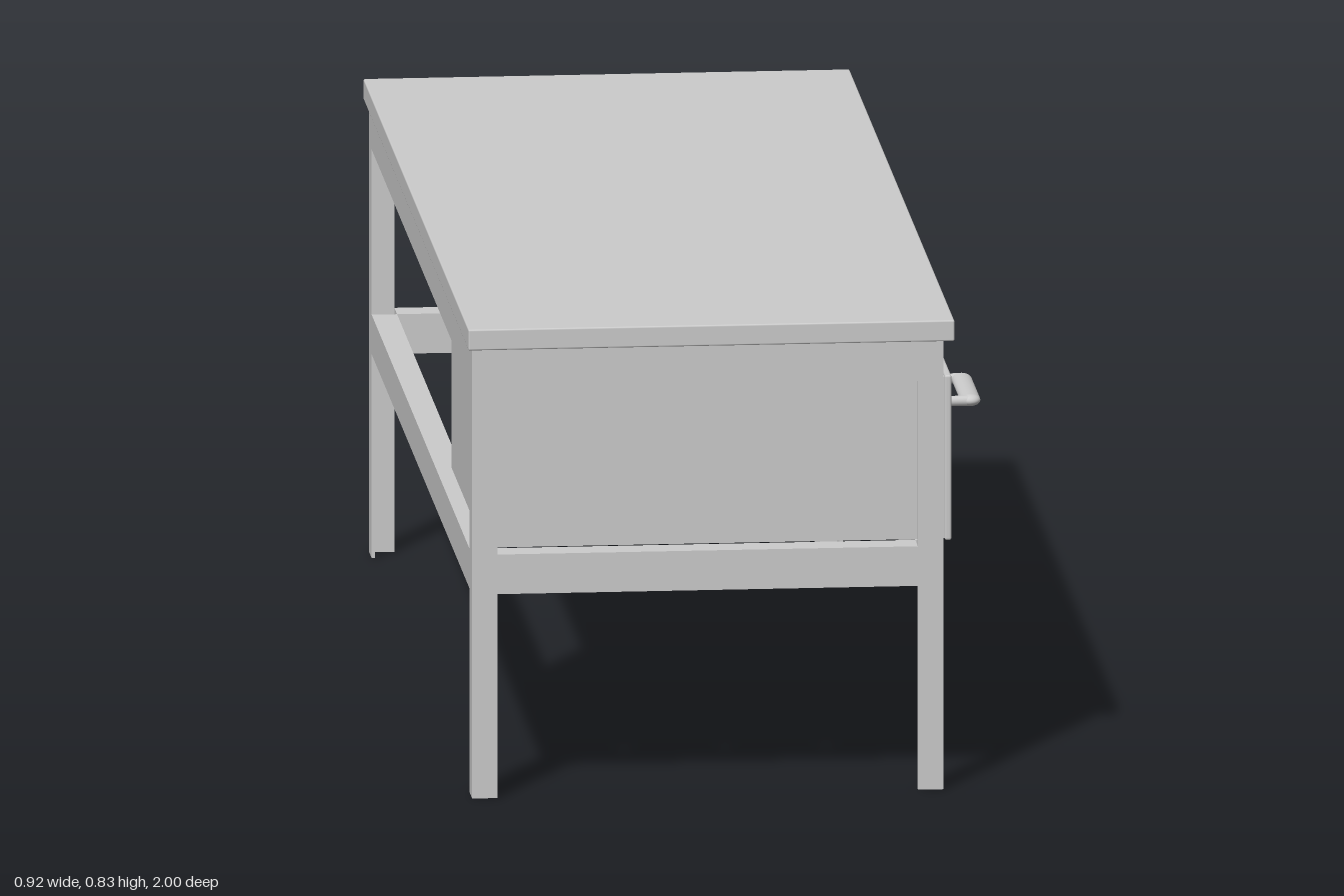
import * as THREE from 'three';
import { RoundedBoxGeometry } from 'three/addons/geometries/RoundedBoxGeometry.js';

const material = new THREE.MeshStandardMaterial({ color: 0xcccccc });

// Outer limits of the steel frame
const X0 = -0.452, X1 = 0.364, Z = 0.983;
const LEG_X = 0.044, LEG_Z = 0.052, PLATE = 0.006, TOP = 0.795;

export function createModel() {
  const model = new THREE.Group();
  model.name = 'workbench';

  const add = (name, geometry, parent = model) => {
    const mesh = new THREE.Mesh(geometry, material);
    mesh.name = name;
    parent.add(mesh);
    return mesh;
  };

  // Box given by its limits on each axis; a radius rounds its edges
  const block = (name, [x0, x1], [y0, y1], [z0, z1], radius = 0, parent = model) => {
    const size = [x1 - x0, y1 - y0, z1 - z0];
    const geometry = radius
      ? new RoundedBoxGeometry(...size, 2, radius)
      : new THREE.BoxGeometry(...size);
    const mesh = add(name, geometry, parent);
    mesh.position.set((x0 + x1) / 2, (y0 + y1) / 2, (z0 + z1) / 2);
    return mesh;
  };

  // Tabletop with slightly eased edges
  block('tabletop', [-0.46, 0.382], [TOP, 0.832], [-1, 1], 0.003);

  // Four angle-section legs, open towards the inside
  for (const sx of [-1, 1]) {
    for (const sz of [-1, 1]) {
      const corners = [
        [0, 0], [LEG_X, 0], [LEG_X, PLATE], [PLATE, PLATE], [PLATE, LEG_Z], [0, LEG_Z],
      ].map(([x, z]) => new THREE.Vector2(-sx * x, sz * z));
      const geometry = new THREE.ExtrudeGeometry(new THREE.Shape(corners), {
        depth: TOP, bevelEnabled: false,
      });
      geometry.rotateX(-Math.PI / 2);
      const leg = add('leg', geometry);
      leg.position.set(sx > 0 ? X1 : X0, 0, sz * Z);
    }
  }

  // Upper and lower rails around the frame
  for (const [name, y] of [['upper', [0.722, TOP]], ['lower', [0.36, 0.43]]]) {
    const zSpan = [-Z + LEG_Z, Z - LEG_Z];
    const xSpan = [X0 + LEG_X, X1 - LEG_X];
    block(name + 'SideRail', [X0, X0 + LEG_X], y, zSpan);
    block(name + 'SideRail', [X1 - LEG_X, X1], y, zSpan);
    block(name + 'EndRail', xSpan, y, [Z - LEG_Z, Z - 0.001]);
    block(name + 'EndRail', xSpan, y, [-Z + 0.001, -Z + LEG_Z]);
  }

  // Drawer: body resting on the lower rails, with a layered front
  const drawer = new THREE.Group();
  drawer.name = 'drawer';
  model.add(drawer);
  block('drawerBody', [-0.425, 0.366], [0.431, 0.716], [0.295, 0.93], 0, drawer);
  block('drawerFrontBacking', [0.365, 0.372], [0.432, 0.716], [0.292, 0.928], 0, drawer);
  block('drawerFront', [0.371, 0.383], [0.428, 0.72], [0.288, 0.932], 0.004, drawer);

  // Pull handle: two round posts and a flattened grip
  const handle = new THREE.Group();
  handle.name = 'handle';
  handle.position.set(0.38, 0.62, 0.6);
  drawer.add(handle);
  for (const s of [-1, 1]) {
    const post = add('handlePost', new THREE.CylinderGeometry(0.009, 0.009, 0.06, 16), handle);
    post.rotation.z = Math.PI / 2;
    post.position.set(0.03, 0, s * 0.089);
  }
  const grip = new THREE.CapsuleGeometry(0.0175, 0.165, 8, 20);
  grip.rotateX(Math.PI / 2);
  grip.scale(1, 0.6, 1);
  add('handleGrip', grip, handle).position.x = 0.058;

  return model;
}
